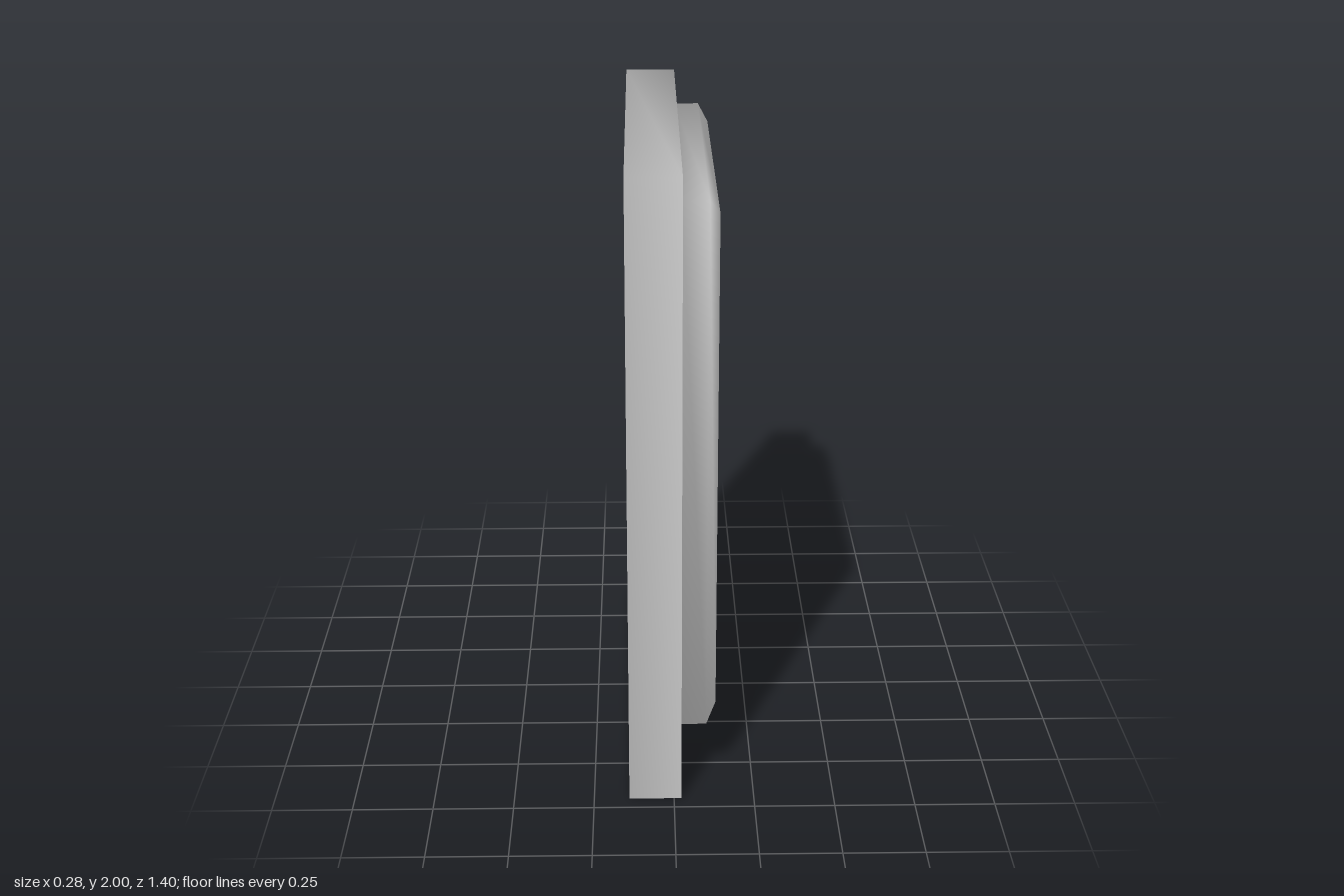
import * as THREE from 'three';

const material = new THREE.MeshStandardMaterial({ color: 0xcccccc, side: THREE.DoubleSide });
const FRONT = 0.133;   // front plane of surround and doors
const GROOVE = 0.008;  // depth of the grooves

function addMesh(parent, name, geometry) {
  const mesh = new THREE.Mesh(geometry, material);
  mesh.name = name;
  parent.add(mesh);
}

function indexed(points, faces) {
  const geometry = new THREE.BufferGeometry();
  geometry.setAttribute('position', new THREE.Float32BufferAttribute(points.flat(), 3));
  geometry.setIndex(faces.flat());
  return geometry;
}

// Four corners of an upright rectangle facing +x, counter-clockwise
const corners = ([x, z, y0, y1]) => [[x, y0, z], [x, y0, -z], [x, y1, -z], [x, y1, z]];

// Joins successive rectangles; the bottom strip is left out of the first `open` steps
function loftRectangles(rects, open) {
  const faces = [[0, 3, 2, 0, 2, 1]];
  for (let i = 0; i < rects.length - 1; i++) {
    for (let k = i < open ? 1 : 0; k < 4; k++) {
      const a = i * 4 + k, b = i * 4 + (k + 1) % 4;
      faces.push([a, b, b + 4, a, b + 4, a + 4]);
    }
  }
  return indexed(rects.flatMap(corners), faces);
}

// Flat outlines are drawn as (-z, y) and turned to face +x
const outline = (points) => points.map(([u, y]) => new THREE.Vector2(u, y));
const rectangle = (u0, u1, y0, y1) => outline([[u0, y0], [u1, y0], [u1, y1], [u0, y1]]);
const turned = (geometry, x) => geometry.rotateY(Math.PI / 2).translate(x, 0, 0);

function flatShape(points, holes, x) {
  const shape = new THREE.Shape(points);
  shape.holes = holes.map((hole) => new THREE.Path(hole));
  return turned(new THREE.ShapeGeometry(shape), x);
}

// Upright walls along a closed outline, from groove floor to front plane
function grooveWalls(points) {
  const n = points.length;
  const vertices = points.flatMap((p) => [[FRONT - GROOVE, p.y, -p.x], [FRONT, p.y, -p.x]]);
  const faces = points.map((_, i) => {
    const a = 2 * i, b = 2 * ((i + 1) % n);
    return [a, a + 1, b + 1, a, b + 1, b];
  });
  const geometry = indexed(vertices, faces).toNonIndexed();
  geometry.computeVertexNormals();
  return geometry;
}

export function createModel() {
  const model = new THREE.Group();
  model.name = 'doubleDoor';

  // Wall slab, open below the doors, and bevelled surround
  const surround = loftRectangles([
    [-0.14, 0.702, 0, 2],
    [0.023, 0.702, 0, 2],
    [0.023, 0.605, 0.21, 1.905],
    [0.102, 0.605, 0.21, 1.905],
    [FRONT, 0.555, 0.26, 1.855],
    [FRONT, 0.49, 0.325, 1.79],
  ], 2);
  surround.computeVertexNormals();
  addMesh(model, 'wallAndSurround', surround);

  // Groove around the sides and top of the doors, with mitred lower ends
  const doorEdge = [[0.49, 0.325], [0.473, 0.342], [0.473, 1.77], [-0.473, 1.77], [-0.473, 0.342], [-0.49, 0.325]];
  const frameGroove = outline([...doorEdge, [-0.49, 1.79], [0.49, 1.79]]);
  addMesh(model, 'frameGrooveFloor', flatShape(frameGroove, [], FRONT - GROOVE));
  addMesh(model, 'frameGrooveWalls', grooveWalls(frameGroove));

  // Four panels, each set off by a rectangular groove
  const panelHoles = [];
  const m = 0.036;
  for (const u0 of [-0.423, 0.047]) {
    for (const [y0, y1] of [[0.39, 0.835], [0.93, 1.72]]) {
      const u1 = u0 + 0.376;
      const outer = rectangle(u0, u1, y0, y1);
      const inner = rectangle(u0 + m, u1 - m, y0 + m, y1 - m);
      panelHoles.push(outer);
      addMesh(model, 'panelGrooveFloor', flatShape(outer, [inner], FRONT - GROOVE));
      addMesh(model, 'panelOuterWalls', grooveWalls(outer));
      addMesh(model, 'panelInnerWalls', grooveWalls(inner));
      addMesh(model, 'doorPanel', flatShape(inner, [], FRONT));
    }
  }
  addMesh(model, 'doorFace', flatShape(outline(doorEdge), panelHoles, FRONT));

  // Pair of flat, bowed pull handles
  for (const side of [-1, 1]) {
    const shape = new THREE.Shape();
    shape.moveTo(side * 0.014, 0.52);
    shape.quadraticCurveTo(side * 0.058, 0.65, side * 0.014, 0.785);
    shape.quadraticCurveTo(side * 0.004, 0.65, side * 0.014, 0.52);
    const handle = new THREE.ExtrudeGeometry(shape, { depth: 0.007, bevelEnabled: false, curveSegments: 10 });
    addMesh(model, side < 0 ? 'leftHandle' : 'rightHandle', turned(handle, FRONT));
  }
  return model;
}
